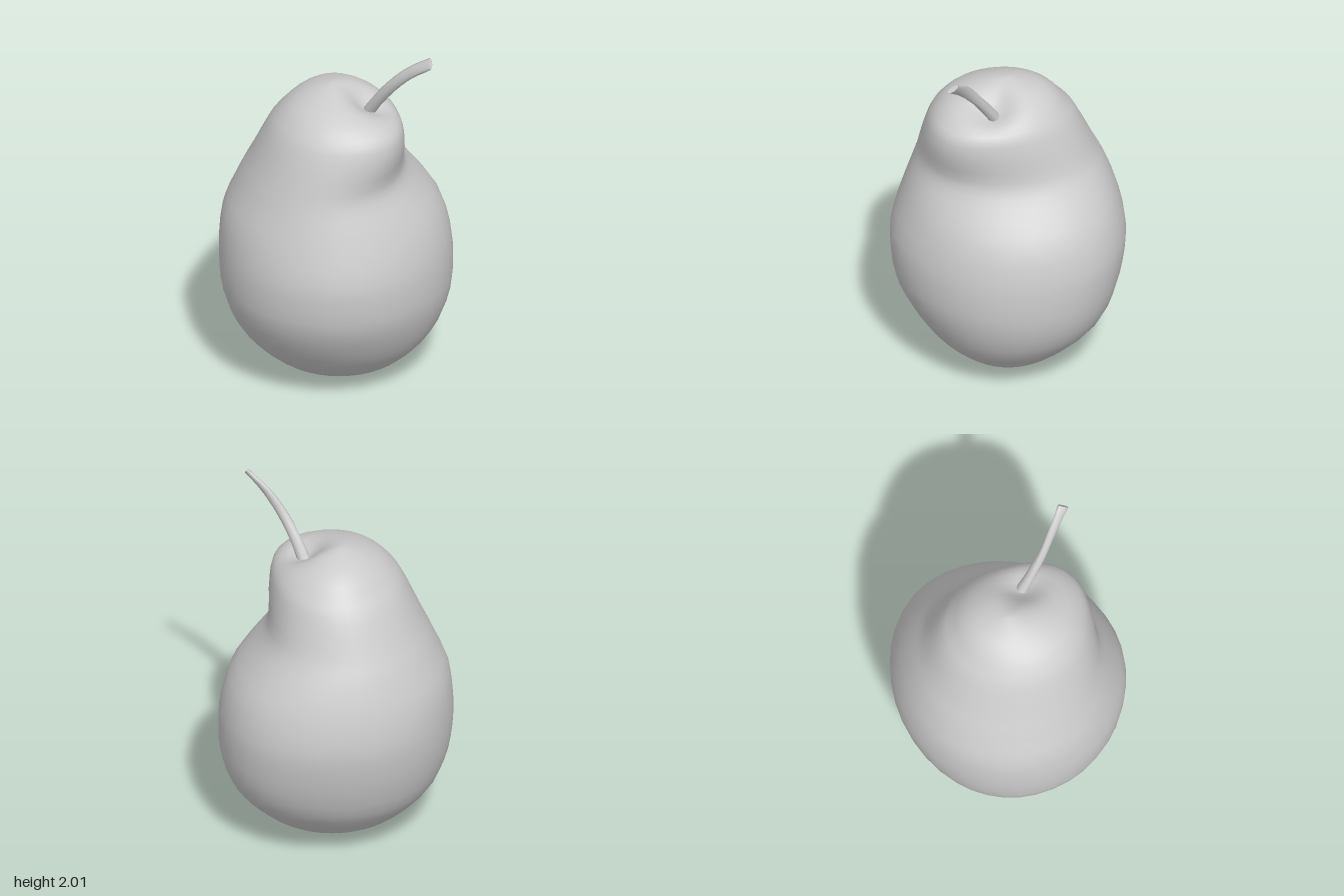
import * as THREE from 'three';

const SIDES = 40;

// Skins a stack of rings (arrays of Vector3, listed bottom to top) with smooth normals
function loft(rings, name) {
  const n = rings[0].length, index = [];
  for (let i = 0; i < rings.length - 1; i++) {
    for (let j = 0; j < n; j++) {
      const a = i * n + j, b = i * n + (j + 1) % n;
      index.push(a, a + n, b, b, a + n, b + n);
    }
  }
  const geometry = new THREE.BufferGeometry().setFromPoints(rings.flat());
  geometry.setIndex(index);
  geometry.computeVertexNormals();
  const mesh = new THREE.Mesh(geometry, new THREE.MeshStandardMaterial({ color: 0xcccccc }));
  mesh.name = name;
  return mesh;
}

// Height, x min, x max, z min, z max, bulge towards +x +z
const BODY = [
  [0.00, -0.08, -0.08, 0.00, 0.00, 0],
  [0.006, -0.13, -0.03, -0.06, 0.06, 0],
  [0.025, -0.17, 0.06, -0.12, 0.13, 0],
  [0.05, -0.21, 0.25, -0.18, 0.19, 0],
  [0.08, -0.27, 0.32, -0.25, 0.26, 0],
  [0.13, -0.35, 0.39, -0.33, 0.33, 0],
  [0.22, -0.45, 0.48, -0.42, 0.42, 0],
  [0.34, -0.54, 0.56, -0.51, 0.51, -0.01],
  [0.50, -0.60, 0.61, -0.57, 0.595, -0.02],
  [0.65, -0.62, 0.62, -0.605, 0.62, -0.02],
  [0.80, -0.62, 0.61, -0.62, 0.62, -0.02],
  [0.97, -0.60, 0.56, -0.59, 0.57, -0.01],
  [1.10, -0.545, 0.465, -0.545, 0.525, 0],
  [1.20, -0.50, 0.39, -0.50, 0.49, 0],
  [1.28, -0.46, 0.357, -0.46, 0.47, 0.01],
  [1.40, -0.405, 0.35, -0.41, 0.445, 0.045],
  [1.50, -0.355, 0.335, -0.36, 0.415, 0.06],
  [1.56, -0.31, 0.31, -0.31, 0.38, 0.055],
  [1.62, -0.25, 0.25, -0.26, 0.32, 0.03],
  [1.67, -0.17, 0.16, -0.19, 0.21, 0.01],
  [1.70, -0.10, 0.09, -0.10, 0.11, 0],
  [1.715, -0.04, 0.01, -0.03, 0.03, 0],
  [1.717, -0.02, -0.02, 0.00, 0.00, 0],
];

// Soft round dent around (x, z)
const dent = (p, x, z, size) => Math.exp(-((p.x - x) ** 2 + (p.z - z) ** 2) / (2 * size * size));

function makeBody() {
  const spline = (f) => new THREE.CatmullRomCurve3(BODY.map(f), false, 'catmullrom', 0.5);
  const xs = spline((r) => new THREE.Vector3(r[1], r[2], r[0]));
  const zs = spline((r) => new THREE.Vector3(r[3], r[4], r[5]));
  const steps = (BODY.length - 1) * 2;
  const rings = [];
  for (let i = 0; i <= steps; i++) {
    const a = xs.getPoint(i / steps), b = zs.getPoint(i / steps);
    // Fuller flank towards +x -z
    const flank = 0.045 * THREE.MathUtils.smoothstep(a.z, 0.1, 0.5) * (1 - THREE.MathUtils.smoothstep(a.z, 1.1, 1.5));
    const ring = [];
    for (let j = 0; j < SIDES; j++) {
      const t = (j / SIDES) * Math.PI * 2, c = Math.cos(t), s = Math.sin(t);
      const bulge = b.z * Math.max(0, (c + s) / Math.SQRT2) ** 6
        + flank * Math.max(0, (c - s) / Math.SQRT2) ** 6;
      const p = new THREE.Vector3(
        (a.x + a.y) / 2 + c * ((a.y - a.x) / 2 + bulge),
        Math.max(0, a.z),
        (b.x + b.y) / 2 + s * ((b.y - b.x) / 2 + bulge));
      // Stem hollow on top, blossom hollow underneath
      if (p.y > 1.5) p.y -= 0.08 * dent(p, 0.16, 0.09, 0.07);
      if (p.y < 0.3) p.y += 0.08 * dent(p, 0.13, -0.01, 0.06);
      ring.push(p);
    }
    rings.push(ring);
  }
  return loft(rings, 'pearBody');
}

// Bent stalk that twists and flattens towards its cut end
function makeStem() {
  const curve = new THREE.CatmullRomCurve3([
    [0.16, 1.56, 0.07], [0.2, 1.65, 0.12], [0.28, 1.79, 0.2], [0.37, 1.9, 0.265], [0.475, 1.985, 0.33],
  ].map((p) => new THREE.Vector3(...p)));
  const steps = 12, sides = 8;
  const frames = curve.computeFrenetFrames(steps);
  const ringAt = (i, scale) => {
    const u = i / steps, twist = u * 1.5;
    const wide = (0.036 - 0.02 * u * (1 - u)) * scale, thin = (0.032 - 0.018 * u) * scale;
    return Array.from({ length: sides }, (_, j) => {
      const t = (j / sides) * Math.PI * 2;
      const x = wide * Math.cos(t), y = thin * Math.sin(t);
      return curve.getPointAt(u)
        .addScaledVector(frames.normals[i], x * Math.cos(twist) - y * Math.sin(twist))
        .addScaledVector(frames.binormals[i], -x * Math.sin(twist) - y * Math.cos(twist));
    });
  };
  const rings = Array.from({ length: steps + 1 }, (_, i) => ringAt(i, 1));
  // Flat cut end
  rings.push(ringAt(steps, 0.97), ringAt(steps, 0));
  return loft(rings, 'stem');
}

export function createModel() {
  const group = new THREE.Group();
  group.name = 'pear';
  group.add(makeBody(), makeStem());
  return group;
}
